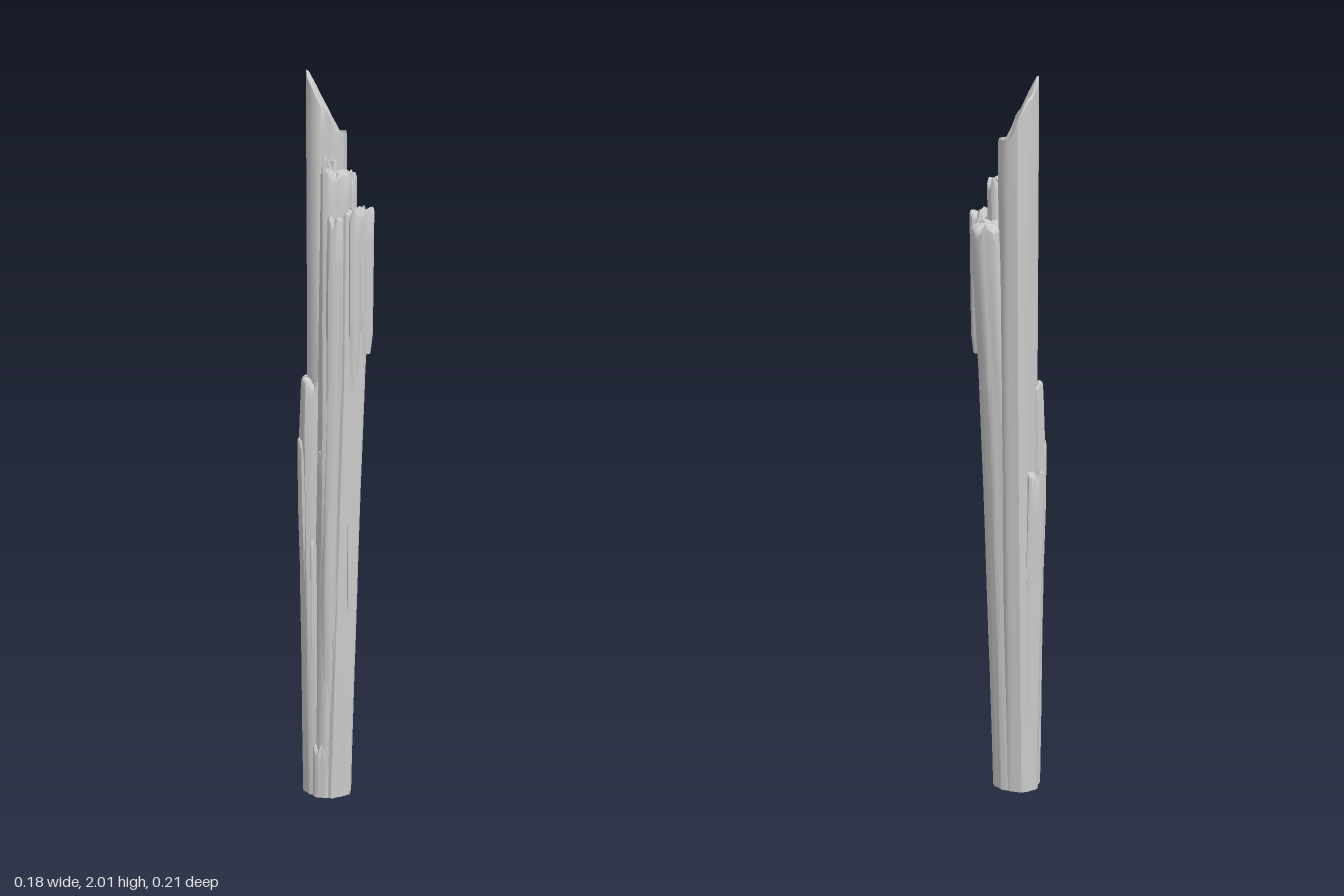
import * as THREE from 'three';
import { toCreasedNormals } from 'three/addons/utils/BufferGeometryUtils.js';

const SIDES = 28;

function seeded(seed) {
  let s = seed * 7919 + 17;
  return () => (s = (s * 16807) % 2147483647) / 2147483647;
}

// Closed lumpy splinter. Stations run upwards: [y, centreX, centreZ, radiusX, radiusZ].
// tilt = slope of the broken top along x and z, jag = height of its ragged edge.
function splinter(name, seed, stations, { tilt = [0, 0], jag = 0.012, dome = 0.012, lump = 1 } = {}) {
  const rnd = seeded(seed);
  rnd();
  const phase = Array.from({ length: 6 }, () => rnd() * Math.PI * 2);
  const lobes = (a, y) => 1 + lump * (
    0.06 * Math.cos(3 * a + phase[0] + y * 0.4) +
    0.05 * Math.cos(5 * a + phase[1] - y * 0.5) +
    0.035 * Math.cos(9 * a + phase[2] + y * 0.3) +
    0.015 * Math.cos(2 * a + phase[3] + y * 9));

  // Subdivide the stations, then close both ends.
  const rings = [];
  stations.forEach((s, i) => {
    const next = stations[i + 1];
    if (!next) return rings.push([...s, 1, 0]);
    for (let k = 0; k < 4; k++) rings.push([...s.map((v, n) => v + (next[n] - v) * k / 4), 1, 0]);
  });
  const first = stations[0], last = stations[stations.length - 1];
  rings.unshift([...first, 0, 0]);
  rings[rings.length - 1][6] = 1;
  for (const [scale, rise] of [[0.86, 0.6], [0.5, 0.9], [0, 1]]) {
    rings.push([last[0] + dome * rise, ...last.slice(1), scale, 1]);
  }

  const pos = [], index = [];
  rings.forEach(([y, cx, cz, rx, rz, scale, top], i) => {
    for (let j = 0; j < SIDES; j++) {
      const a = j / SIDES * Math.PI * 2;
      const r = lobes(a, Math.min(y, last[0])) * scale;
      const dx = Math.cos(a) * rx * r, dz = Math.sin(a) * rz * r;
      const ragged = jag * scale * (Math.cos(4 * a + phase[4]) + 0.6 * Math.cos(7 * a + phase[5]));
      pos.push(cx + dx, y + top * (tilt[0] * dx + tilt[1] * dz + ragged), cz + dz);
      if (i === 0) continue;
      const n = (j + 1) % SIDES, lo = (i - 1) * SIDES, hi = i * SIDES;
      index.push(lo + j, hi + j, lo + n, lo + n, hi + j, hi + n);
    }
  });
  const geo = new THREE.BufferGeometry();
  geo.setAttribute('position', new THREE.Float32BufferAttribute(pos, 3));
  geo.setIndex(index);
  const mesh = new THREE.Mesh(toCreasedNormals(geo, 0.6),
    new THREE.MeshStandardMaterial({ color: 0xcccccc }));
  mesh.name = name;
  return mesh;
}

export function createModel() {
  const group = new THREE.Group();
  group.name = 'splinteredStake';
  const add = (...args) => group.add(splinter(...args));

  // Tall slanted point, running the full length at the back
  add('tallPoint', 3, [
    [0, -0.02, -0.025, 0.045, 0.05], [1, 0, -0.03, 0.053, 0.05],
    [1.6, 0.007, -0.037, 0.062, 0.047], [1.72, 0.008, -0.037, 0.062, 0.047],
    [1.895, 0.008, -0.038, 0.061, 0.046],
  ], { tilt: [-1.1, -1.6], jag: 0.008, dome: 0.02, lump: 0.8 });

  // Long strands around the core
  add('sideStrand', 5, [
    [0, 0, 0, 0.031, 0.042], [0.6, 0.013, 0.008, 0.031, 0.042],
    [1.1, 0.028, 0.016, 0.032, 0.042], [1.5, 0.051, 0.028, 0.033, 0.042],
    [1.62, 0.055, 0.031, 0.032, 0.041],
  ], { tilt: [-0.4, 0], jag: 0.006 });
  add('frontStrand', 8, [
    [0, -0.03, 0.015, 0.045, 0.04], [0.6, -0.024, 0.031, 0.044, 0.042],
    [1.2, -0.012, 0.046, 0.046, 0.042], [1.63, -0.01, 0.052, 0.048, 0.042],
  ]);
  add('middlePlate', 11, [
    [0, -0.04, 0, 0.042, 0.04], [0.8, -0.035, 0.01, 0.045, 0.04],
    [1.4, -0.028, 0.015, 0.05, 0.035], [1.74, -0.028, 0.02, 0.057, 0.03],
  ], { tilt: [-0.1, -0.3], jag: 0.01 });
  add('leftStrand', 14, [
    [0.2, -0.052, 0.01, 0.023, 0.03], [0.6, -0.06, 0.018, 0.025, 0.03],
    [1.1, -0.052, 0.025, 0.024, 0.03], [1.62, -0.06, 0.038, 0.024, 0.026],
  ]);

  // Short ridges ending in the broken front rim
  add('frontRidge', 17, [
    [1.27, 0.008, 0.081, 0.02, 0.02], [1.32, 0.01, 0.085, 0.022, 0.021], [1.64, 0.012, 0.086, 0.024, 0.021],
  ]);
  add('frontRidge', 19, [
    [1.15, -0.022, 0.064, 0.015, 0.018], [1.35, -0.026, 0.073, 0.02, 0.019], [1.64, -0.03, 0.076, 0.02, 0.019],
  ]);
  add('rimStub', 23, [
    [1.5, 0.012, 0.028, 0.025, 0.022], [1.73, 0.016, 0.028, 0.025, 0.02],
  ]);
  add('rimStub', 26, [
    [1.5, -0.035, 0.005, 0.025, 0.02], [1.765, -0.035, 0.004, 0.025, 0.02],
  ]);

  // Stepped strands at the back
  add('backStrand', 29, [
    [0, -0.022, -0.05, 0.035, 0.03], [0.5, -0.02, -0.06, 0.033, 0.031],
    [0.94, -0.018, -0.073, 0.032, 0.031],
  ], { tilt: [0.4, 0.3], jag: 0.015 });
  add('backCornerStrand', 31, [
    [0, -0.052, -0.03, 0.031, 0.042], [0.6, -0.053, -0.038, 0.033, 0.042],
    [1.05, -0.045, -0.048, 0.032, 0.04], [1.18, -0.04, -0.05, 0.03, 0.036],
  ], { jag: 0.015 });
  add('backCornerStrand', 34, [
    [0.3, -0.062, -0.04, 0.02, 0.025], [0.85, -0.062, -0.052, 0.024, 0.03], [1.02, -0.058, -0.058, 0.022, 0.028],
  ], { tilt: [0.5, 0], jag: 0.015 });
  add('baseStub', 37, [[0, -0.068, -0.004, 0.022, 0.026], [0.14, -0.068, -0.004, 0.021, 0.025]]);

  // Thin bark slivers down the weathered left side: [x, z, bottom, top]
  [[-0.058, 0.035, 0.3, 0.68], [-0.03, 0.063, 0.4, 0.95], [-0.07, 0.005, 0.45, 1.0],
    [-0.045, 0.057, 0.85, 1.42], [-0.068, 0.012, 1.15, 1.6], [-0.072, -0.025, 0.25, 0.75],
    [-0.04, 0.045, 0.02, 0.34]]
    .forEach(([x, z, y0, y1], i) => add('barkSliver', 41 + i * 3, [
      [y0, x * 0.9, z * 0.9, 0.004, 0.006], [y0 + (y1 - y0) * 0.4, x, z, 0.012, 0.012], [y1, x, z, 0.011, 0.011],
    ], { tilt: [1, -1], dome: 0.005 }));

  return group;
}
